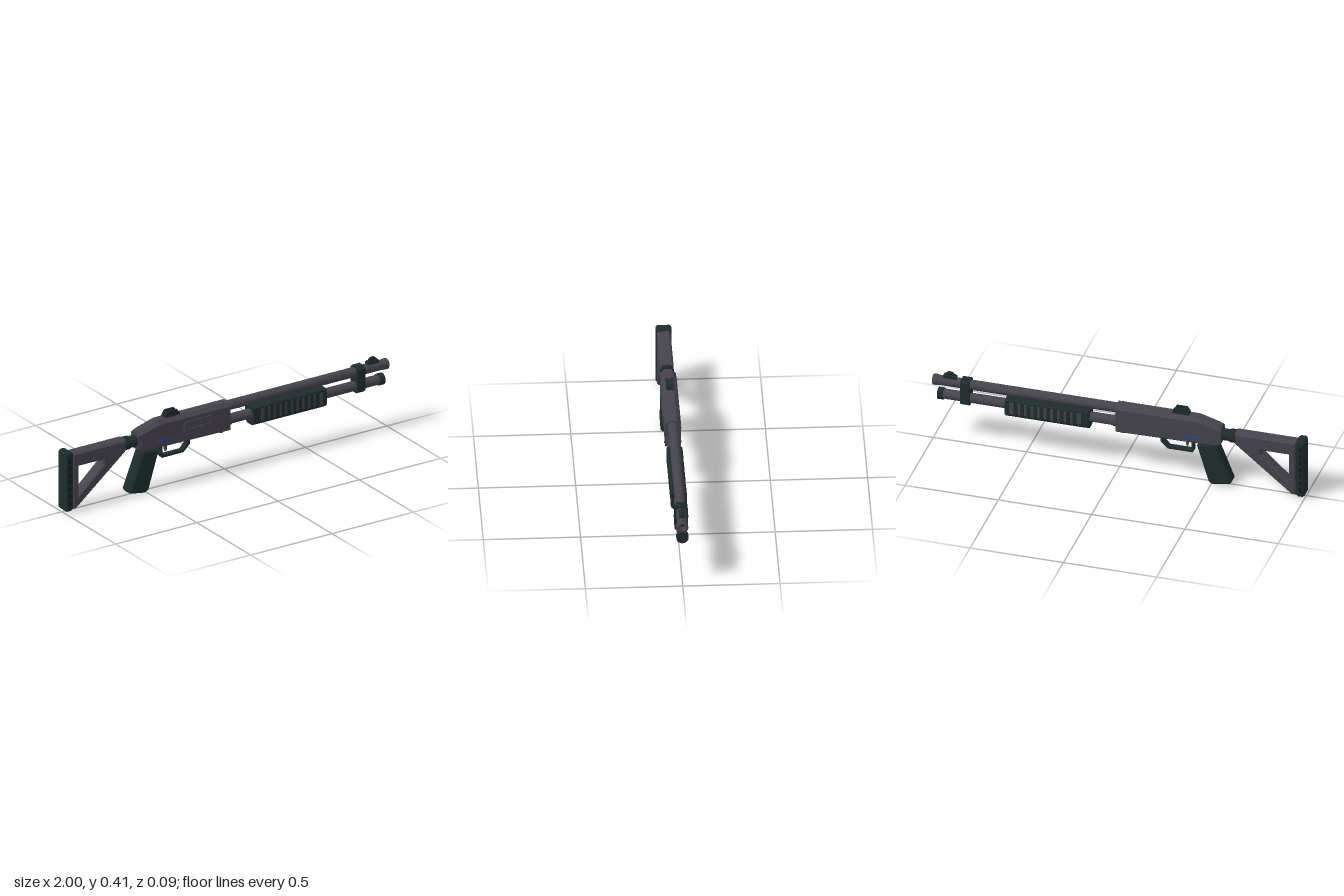
import * as THREE from 'three';

const material = (name, color) => new THREE.MeshStandardMaterial({ name, color });

export function createModel() {
  const group = new THREE.Group();
  const metal = material('gunmetal', 0x46434c);
  const polymer = material('darkPolymer', 0x1e2c2c);
  const black = material('blackRecess', 0x101717);
  const blue = material('blueInlay', 0x2a45b0);

  const add = (name, geometry, mat, x = 0, y = 0, z = 0) => {
    const mesh = new THREE.Mesh(geometry, mat);
    mesh.name = name;
    mesh.position.set(x, y, z);
    group.add(mesh);
    return mesh;
  };
  const box = (name, mat, x0, x1, y0, y1, z0, z1) =>
    add(name, new THREE.BoxGeometry(x1 - x0, y1 - y0, z1 - z0), mat,
      (x0 + x1) / 2, (y0 + y1) / 2, (z0 + z1) / 2);
  const rod = (name, mat, x0, x1, y, r, sides = 32) =>
    add(name, new THREE.CylinderGeometry(r, r, x1 - x0, sides).rotateZ(-Math.PI / 2), mat, (x0 + x1) / 2, y);
  const pin = (name, mat, x, y, r, length, z = 0) =>
    add(name, new THREE.CylinderGeometry(r, r, length, 16).rotateX(Math.PI / 2), mat, x, y, z);

  // Side outline, extruded symmetrically across z with a small bevel
  const points = (list) => list.map(([x, y]) => new THREE.Vector2(x, y));
  const plate = (name, mat, outline, width, bevel = 0, hole = null) => {
    const shape = new THREE.Shape(points(outline));
    if (hole) shape.holes.push(new THREE.Path(points(hole)));
    const geometry = new THREE.ExtrudeGeometry(shape, {
      depth: width - 2 * bevel, bevelEnabled: bevel > 0, bevelSize: bevel,
      bevelThickness: bevel, bevelOffset: -bevel, bevelSegments: 1,
    });
    return add(name, geometry.translate(0, 0, -(width - 2 * bevel) / 2), mat);
  };

  // Chamfered cross-sections along x; each section is [x, bottom, top, halfWidth]
  const loft = (name, mat, sections, ct, cb) => {
    const rings = sections.map(([x, b, t, w]) => [
      [w, b + cb], [w, t - ct], [w - ct, t], [ct - w, t],
      [-w, t - ct], [-w, b + cb], [cb - w, b], [w - cb, b],
    ].map(([z, y]) => [x, y, z]));
    const pos = [];
    const tri = (...corners) => corners.forEach((c) => pos.push(...c));
    for (let s = 0; s < rings.length - 1; s++) {
      for (let i = 0; i < 8; i++) {
        const j = (i + 1) % 8, p = rings[s], q = rings[s + 1];
        tri(p[i], q[i], q[j]);
        tri(p[i], q[j], p[j]);
      }
    }
    const first = rings[0], last = rings[rings.length - 1];
    for (let k = 1; k < 7; k++) {
      tri(first[0], first[k], first[k + 1]);
      tri(last[0], last[k + 1], last[k]);
    }
    const geometry = new THREE.BufferGeometry();
    geometry.setAttribute('position', new THREE.Float32BufferAttribute(pos, 3));
    geometry.computeVertexNormals();
    return add(name, geometry, mat);
  };

  // Skeleton stock and butt pad
  plate('stock', metal,
    [[-0.955, 0.015], [-0.93, 0.015], [-0.625, 0.262], [-0.625, 0.325], [-0.955, 0.325]],
    0.07, 0.009, [[-0.915, 0.085], [-0.915, 0.248], [-0.765, 0.248], [-0.765, 0.222]]);
  plate('buttPad', polymer,
    [[-1, 0.02], [-0.99, 0.01], [-0.965, 0.01], [-0.952, 0.022],
      [-0.952, 0.33], [-0.965, 0.34], [-0.99, 0.34], [-1, 0.33]], 0.08, 0.008);
  for (let i = 0; i < 7; i++) {
    const y = 0.045 + i * 0.039;
    for (const s of [-1, 1]) box('padNotch', black, -0.986, -0.972, y, y + 0.024, s * 0.039 - 0.002, s * 0.039 + 0.002);
  }

  // Stock connector
  rod('stockConnector', polymer, -0.63, -0.545, 0.293, 0.031);
  rod('connectorCollar', polymer, -0.625, -0.595, 0.293, 0.036);

  // Receiver with sloped rear top
  loft('receiver', metal, [
    [-0.552, 0.25, 0.347, 0.036], [-0.53, 0.238, 0.353, 0.041],
    [-0.425, 0.236, 0.383, 0.041], [0.012, 0.23, 0.383, 0.041],
  ], 0.02, 0.005);
  // Raised ejection port frame with its cover
  plate('ejectionPortFrame', metal,
    [[-0.277, 0.295], [-0.105, 0.295], [-0.105, 0.345], [-0.265, 0.345], [-0.277, 0.333]],
    0.008, 0, [[-0.268, 0.303], [-0.268, 0.338], [-0.113, 0.338], [-0.113, 0.303]]).position.z = 0.043;
  box('ejectionPortCover', metal, -0.266, -0.115, 0.305, 0.336, 0.039, 0.0445);
  for (const s of [-1, 1]) {
    box('blueStripe', blue, -0.432, -0.352, 0.268, 0.278, s * 0.041 - 0.002, s * 0.041 + 0.002);
    for (const [x, y] of [[-0.46, 0.315], [-0.33, 0.262], [-0.02, 0.32]]) {
      pin('receiverPin', metal, x, y, 0.005, 0.004, s * 0.042);
    }
  }
  box('loadingPort', black, -0.16, -0.04, 0.229, 0.233, -0.024, 0.024);
  // Sling loop
  add('slingLoop', new THREE.TorusGeometry(0.012, 0.004, 8, 20), metal, -0.018, 0.222, 0);
  pin('slingPin', metal, -0.018, 0.24, 0.006, 0.09);

  // Rear sight: base with two notched prongs
  const sightOutline = [[-0.378, 0.38], [-0.283, 0.38], [-0.29, 0.396], [-0.302, 0.415], [-0.358, 0.415], [-0.372, 0.396]];
  for (const s of [-1, 1]) plate('rearSightProng', polymer, sightOutline, 0.01).position.z = s * 0.014;
  box('rearSightBase', polymer, -0.374, -0.288, 0.378, 0.399, -0.012, 0.012);

  // Open-frame pistol grip
  plate('grip', polymer,
    [[-0.532, 0.222], [-0.522, 0.238], [-0.43, 0.232], [-0.422, 0.218], [-0.485, 0.015],
      [-0.5, 0.002], [-0.515, 0.002], [-0.598, 0.016], [-0.608, 0.032]], 0.078, 0.012,
    [[-0.576, 0.062], [-0.568, 0.05], [-0.517, 0.04], [-0.505, 0.05],
      [-0.458, 0.196], [-0.466, 0.207], [-0.513, 0.21], [-0.525, 0.2]]);

  // Trigger and guard
  plate('triggerGuard', polymer,
    [[-0.402, 0.238], [-0.402, 0.175], [-0.392, 0.163], [-0.26, 0.163], [-0.222, 0.2], [-0.222, 0.238]],
    0.032, 0.002, [[-0.389, 0.228], [-0.24, 0.228], [-0.24, 0.207], [-0.267, 0.177], [-0.389, 0.177]]);
  plate('trigger', metal,
    [[-0.372, 0.235], [-0.352, 0.235], [-0.358, 0.215], [-0.358, 0.2], [-0.366, 0.19], [-0.37, 0.205]], 0.014);

  // Barrel with recessed bore, turned around its axis
  const barrelProfile = points([
    [0.018, 0.95], [0.018, 1], [0.026, 1], [0.029, 0.997], [0.029, 0.975], [0.0265, 0.973], [0.0265, 0]]);
  for (let i = 0; i < barrelProfile.length - 1; i++) {
    add('barrel', new THREE.LatheGeometry([barrelProfile[i + 1], barrelProfile[i]], 32)
      .rotateZ(-Math.PI / 2), metal, 0, 0.353, 0);
  }
  rod('bore', black, 0.94, 0.955, 0.353, 0.0185);

  // Magazine tube and cap
  rod('magazineTube', metal, 0, 0.95, 0.275, 0.0265);
  rod('magazineCap', polymer, 0.942, 0.972, 0.275, 0.0315);
  rod('receiverCollar', metal, 0.01, 0.03, 0.275, 0.031);
  for (const s of [-1, 1]) box('actionBar', metal, 0, 0.17, 0.268, 0.282, s * 0.028 - 0.003, s * 0.028 + 0.003);

  // Barrel clamp and front sight
  loft('barrelClamp', polymer, [[0.798, 0.24, 0.386, 0.034], [0.846, 0.24, 0.386, 0.034]], 0.014, 0.014);
  pin('clampScrew', polymer, 0.822, 0.314, 0.009, 0.074);
  plate('frontSightBase', polymer,
    [[0.872, 0.374], [0.946, 0.374], [0.943, 0.392], [0.934, 0.394], [0.884, 0.394], [0.875, 0.39]], 0.03, 0.003);
  plate('frontSightBlade', polymer,
    [[0.885, 0.39], [0.936, 0.39], [0.93, 0.404], [0.918, 0.411], [0.9, 0.411], [0.89, 0.404]], 0.014, 0.002);

  // Ribbed pump handle: core, end blocks, rails and ribs
  loft('pumpCore', metal, [[0.17, 0.225, 0.314, 0.034], [0.59, 0.225, 0.314, 0.034]], 0.01, 0.012);
  const block = (name, x0, x1, bottom, top) =>
    loft(name, polymer, [[x0, bottom, top, 0.041], [x1, bottom, top, 0.041]], 0.008, 0.018);
  block('pumpRearBlock', 0.155, 0.197, 0.217, 0.32);
  block('pumpFrontBlock', 0.583, 0.605, 0.217, 0.32);
  loft('pumpBottomRail', polymer, [[0.19, 0.217, 0.232, 0.036], [0.59, 0.217, 0.232, 0.036]], 0, 0.012);
  loft('pumpTopRail', polymer, [[0.19, 0.307, 0.32, 0.039], [0.59, 0.307, 0.32, 0.039]], 0.006, 0);
  const slots = 11, pitch = (0.583 - 0.197) / slots;
  for (let i = 1; i < slots; i++) {
    const x = 0.197 + i * pitch;
    block('pumpRib', x - 0.0095, x + 0.0095, 0.218, 0.319);
  }
  return group;
}
